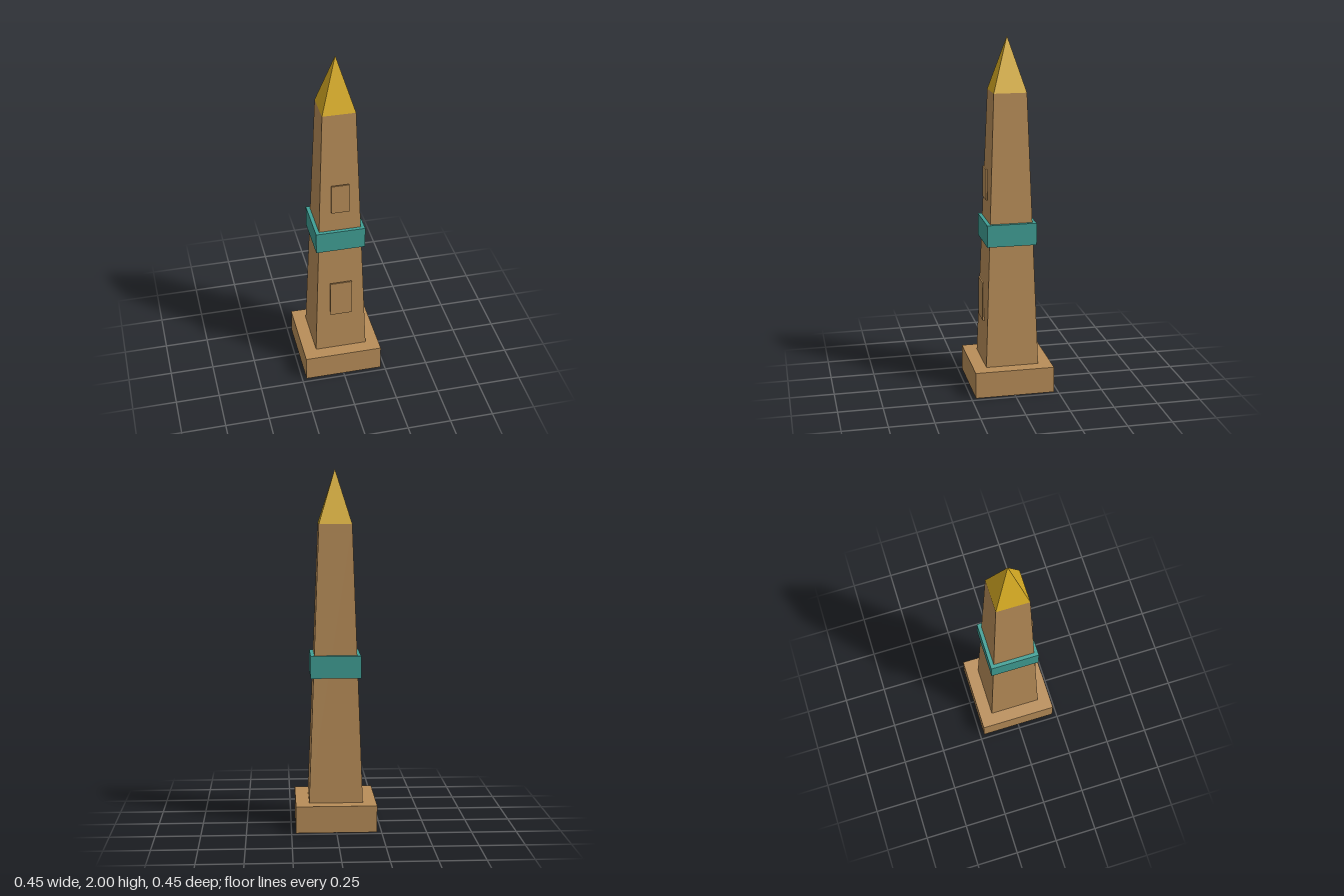
import * as THREE from 'three';

const material = (name, color) => {
  const m = new THREE.MeshStandardMaterial({ color });
  m.name = name;
  return m;
};

export function createModel() {
  const obelisk = new THREE.Group();
  obelisk.name = 'obelisk';
  const sandstone = material('sandstone', 0xb98e59);
  const turquoise = material('turquoise', 0x40a096);
  const gold = material('gold', 0xdaae24);

  const add = (name, geometry, mat, y, z = 0) => {
    const mesh = new THREE.Mesh(geometry, mat);
    mesh.name = name;
    mesh.position.set(0, y, z);
    obelisk.add(mesh);
  };

  // Square frustum given by its half widths, with flat faces along x and z
  const frustum = (top, bottom, height) => {
    const g = new THREE.CylinderGeometry(top * Math.SQRT2, bottom * Math.SQRT2, height, 4).rotateY(Math.PI / 4);
    const flat = g.toNonIndexed();
    flat.computeVertexNormals();
    return flat;
  };

  // Plinth, tapered shaft and pyramid tip
  add('plinth', new THREE.BoxGeometry(0.45, 0.15, 0.45), sandstone, 0.075);
  add('shaft', frustum(0.092, 0.15, 1.55), sandstone, 0.925);
  add('pyramidTip', frustum(0, 0.092, 0.3), gold, 1.85);

  // Band around the middle
  add('band', new THREE.BoxGeometry(0.28, 0.125, 0.28), turquoise, 0.915);

  // Thin upright panels on the front
  add('lowerPanel', new THREE.BoxGeometry(0.125, 0.225, 0.009), sandstone, 0.5125, 0.149);
  add('upperPanel', new THREE.BoxGeometry(0.1, 0.175, 0.009), sandstone, 1.1875, 0.124);

  return obelisk;
}
